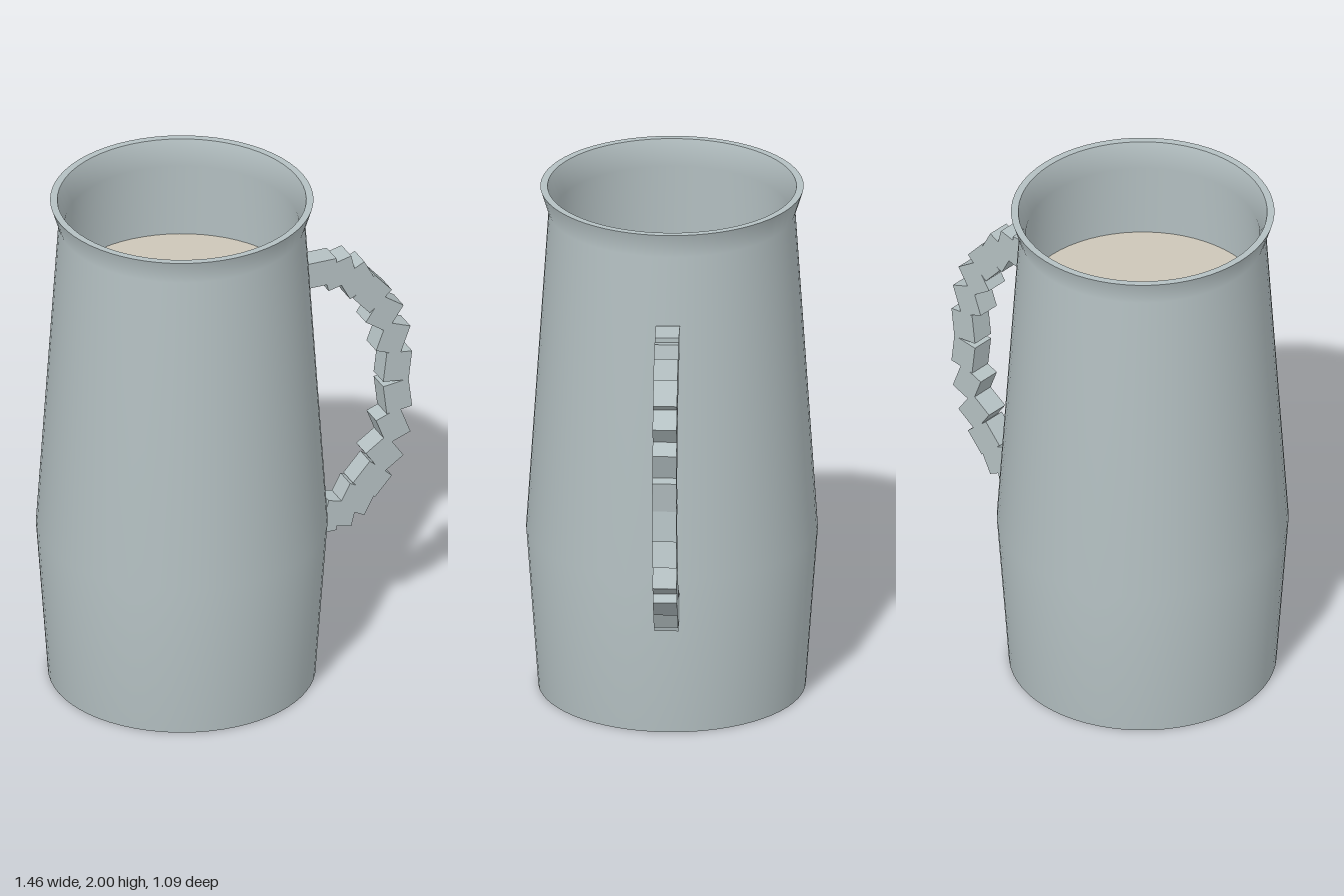
import * as THREE from 'three';

const pewter = new THREE.MeshStandardMaterial({ name: 'pewter grey', color: 0xb4c0c2 });
const cream = new THREE.MeshStandardMaterial({ name: 'cream liquid', color: 0xccc6b8 });

const BODY_X = -0.19;

// Surface of revolution; profiles run up the outside and down the inside.
function turned(name, profile) {
  const points = profile.map(([r, y]) => new THREE.Vector2(r, y));
  const mesh = new THREE.Mesh(new THREE.LatheGeometry(points, 64), pewter);
  mesh.name = name;
  return mesh;
}

export function createModel() {
  const model = new THREE.Group();
  model.name = 'pitcher';

  // Vessel: separate pieces keep the base and rim edges crisp
  const vessel = new THREE.Group();
  vessel.name = 'vessel';
  vessel.position.x = BODY_X;
  vessel.add(
    turned('base', [[0, 0], [0.5, 0]]),
    turned('outerWall', [[0.5, 0], [0.545, 0.63], [0.461, 1.9], [0.492, 2]]),
    turned('rim', [[0.492, 2], [0.465, 2]]),
    turned('innerWall', [[0.465, 2], [0.437, 1.9], [0.515, 0.63], [0.475, 0.05]]),
    turned('innerFloor', [[0.475, 0.05], [0, 0.05]]),
  );

  // Drink surface inside the vessel
  const liquid = new THREE.Mesh(new THREE.CircleGeometry(0.456, 64), cream);
  liquid.name = 'liquid';
  liquid.rotation.x = -Math.PI / 2;
  liquid.position.y = 1.6;
  vessel.add(liquid);
  model.add(vessel);

  // Handle: blocks along a half ellipse, counter-rotated for a jagged outline
  const handle = new THREE.Group();
  handle.name = 'handle';
  const block = new THREE.BoxGeometry(0.104, 0.12, 0.09);
  const count = 14;
  for (let i = 0; i < count; i++) {
    const t = Math.PI / 2 - (i / (count - 1)) * Math.PI;
    const link = new THREE.Mesh(block, pewter);
    link.name = `handleBlock${i + 1}`;
    link.position.set(0.36 + 0.312 * Math.cos(t), 1.055 + 0.528 * Math.sin(t), 0);
    link.rotation.z = -t;
    handle.add(link);
  }
  model.add(handle);

  return model;
}
